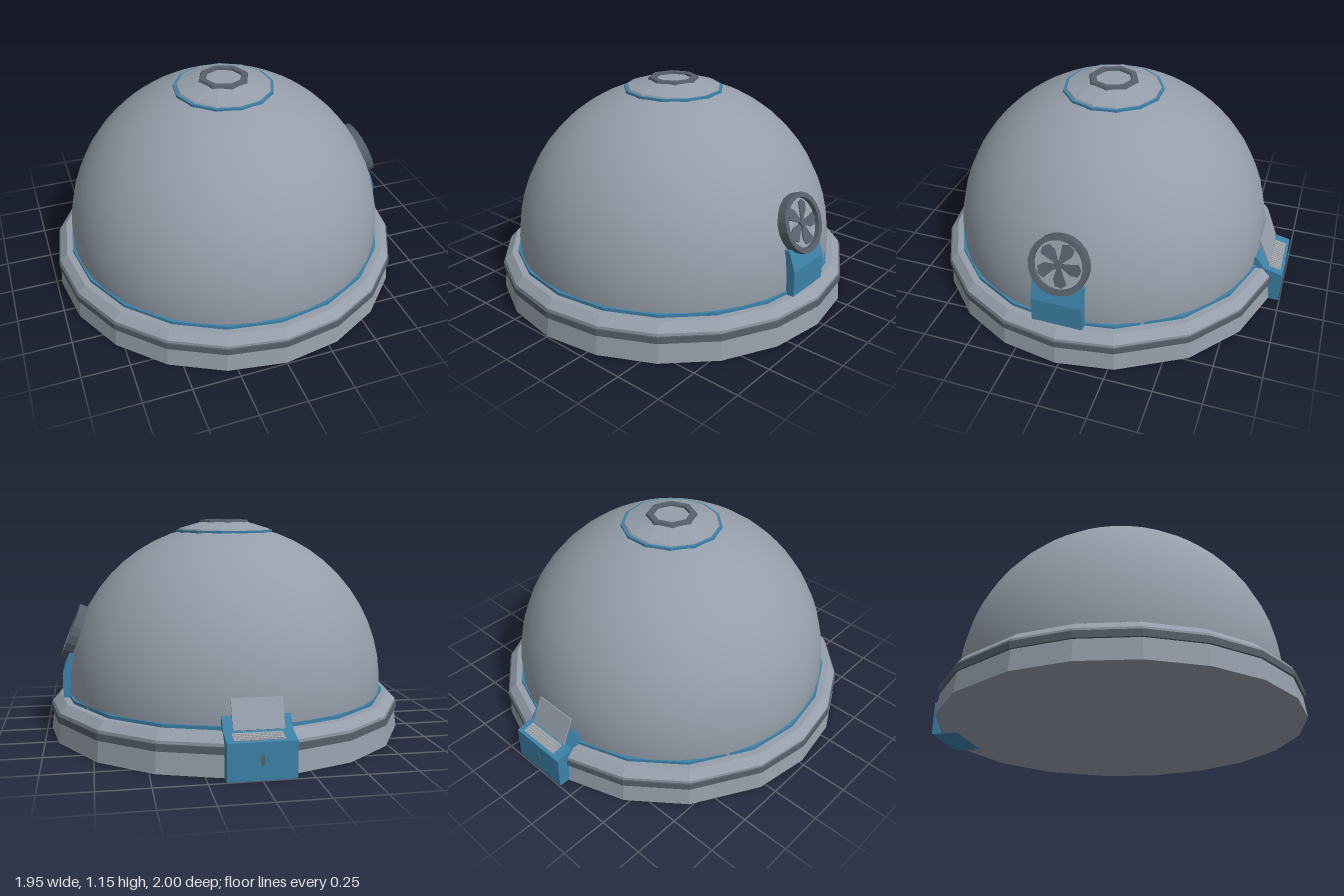
import * as THREE from 'three';

export function createModel() {
  const model = new THREE.Group();
  const mat = (name, color) => Object.assign(new THREE.MeshStandardMaterial({ color }), { name });
  const grey = mat('hull grey', 0x959eaa);
  const blue = mat('trim blue', 0x3d82a8);
  const slate = mat('dark slate', 0x56606b);
  const pale = mat('key grey', 0xa6a9ac);

  const add = (name, geo, material, parent = model) => {
    const mesh = new THREE.Mesh(geo, material);
    mesh.name = name;
    parent.add(mesh);
    return mesh;
  };

  // faceted lathe; optional list of corner angles in degrees, measured from the front
  const faceted = (profile, sides, angles) => {
    const geo = new THREE.LatheGeometry(profile.map(p => new THREE.Vector2(...p)), sides);
    if (angles) {
      const pos = geo.attributes.position;
      for (let i = 0; i < pos.count; i++) {
        const [r, y] = profile[i % profile.length];
        const a = THREE.MathUtils.degToRad(angles[Math.floor(i / profile.length)]);
        pos.setXYZ(i, r * Math.sin(a), y, r * Math.cos(a));
      }
    }
    const flat = geo.toNonIndexed();
    flat.computeVertexNormals();
    return flat;
  };

  const shapeOf = pts => new THREE.Shape(pts.map(p => new THREE.Vector2(...p)));
  const extrude = (pts, depth) =>
    new THREE.ExtrudeGeometry(shapeOf(pts), { depth, bevelEnabled: false }).translate(0, 0, -depth / 2);

  // round building body
  const building = new THREE.Group();
  building.name = 'building';
  building.position.z = 0.02;
  model.add(building);

  const half = [18, 36, 54, 72, 90, 108, 131, 151, 171];
  const corners = [0, ...half, ...half.map(a => 360 - a).reverse(), 360];
  const ring = (name, profile, material) => add(name, faceted(profile, 19, corners), material, building);
  ring('baseWall', [[0, 0.001], [0.975, 0.001], [0.962, 0.11]], grey);
  ring('baseBand', [[0.955, 0.11], [0.974, 0.11], [0.974, 0.145], [0.955, 0.145]], slate);
  ring('baseLedge', [[0.965, 0.145], [0.965, 0.16], [0.925, 0.2], [0.84, 0.2]], grey);
  ring('domeTrim', [[0.89, 0.198], [0.89, 0.217], [0.84, 0.217]], blue);

  // smooth dome
  const dome = new THREE.SphereGeometry(0.875, 40, 14, 0, Math.PI * 2, 0, Math.PI / 2 + 0.06);
  add('dome', dome.translate(0, 0.25, 0), grey, building);

  // roof cap
  add('capTrim', faceted([[0.25, 1.078], [0.27, 1.078], [0.27, 1.095], [0.2, 1.095]], 13), blue, building);
  add('cap', faceted([[0.255, 1.095], [0.25, 1.103], [0.13, 1.138], [0, 1.138]], 13), grey, building);
  add('capRing', faceted([[0.14, 1.13], [0.132, 1.15], [0.1, 1.15], [0.095, 1.13]], 8), slate, building);

  // vent duct on the left flank
  const duct = extrude([[0.8, 0.2], [0.905, 0.2], [0.905, 0.335], [0.868, 0.44], [0.8, 0.44]], 0.27);
  add('ventDuct', duct.translate(0, 0, 0.027), blue);

  // tilted fan leaning against the dome
  const fan = new THREE.Group();
  fan.name = 'fan';
  fan.position.set(0.842, 0.54, 0.025);
  fan.rotation.z = THREE.MathUtils.degToRad(-68.4);
  model.add(fan);
  add('fanRing', faceted(
    [[0.128, -0.03], [0.155, -0.03], [0.155, 0.02], [0.128, 0.02], [0.128, -0.03]], 20), slate, fan);
  add('fanBacking', new THREE.CylinderGeometry(0.13, 0.13, 0.01, 20).translate(0, -0.009, 0), grey, fan);
  add('fanHub', new THREE.CylinderGeometry(0.022, 0.022, 0.02, 10).translate(0, 0.006, 0), slate, fan);
  for (let i = 0; i < 5; i++) {
    const blade = extrude([[0.012, -0.008], [0.07, -0.036], [0.108, -0.03],
      [0.118, 0.005], [0.1, 0.034], [0.065, 0.022], [0.012, 0.008]], 0.006);
    blade.rotateX(-Math.PI / 2).rotateX(0.12).translate(0, 0.005, 0);
    add('fanBlade', blade.rotateY(i * Math.PI * 2 / 5 + 0.2), slate, fan);
  }

  // control console at the back, side profile given as (z, y)
  const console_ = extrude([[-0.995, 0], [-0.85, 0], [-0.82, 0.2], [-0.82, 0.265],
    [-0.85, 0.265], [-0.885, 0.222], [-0.9, 0.203], [-0.995, 0.18]], 0.33);
  add('console', console_.rotateY(-Math.PI / 2), blue);
  const screen = add('screen', new THREE.BoxGeometry(0.246, 0.15, 0.009), grey);
  screen.position.set(0, 0.282, -0.882);
  screen.rotation.x = 0.42;
  const keys = new THREE.Group();
  keys.name = 'keyboard';
  keys.position.set(0.01, 0.193, -0.948);
  keys.rotation.x = -0.237;
  model.add(keys);
  add('keyboardPlate', new THREE.BoxGeometry(0.24, 0.006, 0.066), grey, keys);
  for (let row = 0; row < 4; row++) {
    for (let col = 0; col < 14; col++) {
      const key = new THREE.BoxGeometry(0.011, 0.006, 0.01);
      add('key', key.translate((col - 6.5) * 0.016, 0.004, (row - 1.5) * 0.015), pale, keys);
    }
  }
  add('consoleHandle', new THREE.BoxGeometry(0.015, 0.05, 0.008).translate(0, 0.095, -0.997), slate);

  return model;
}
